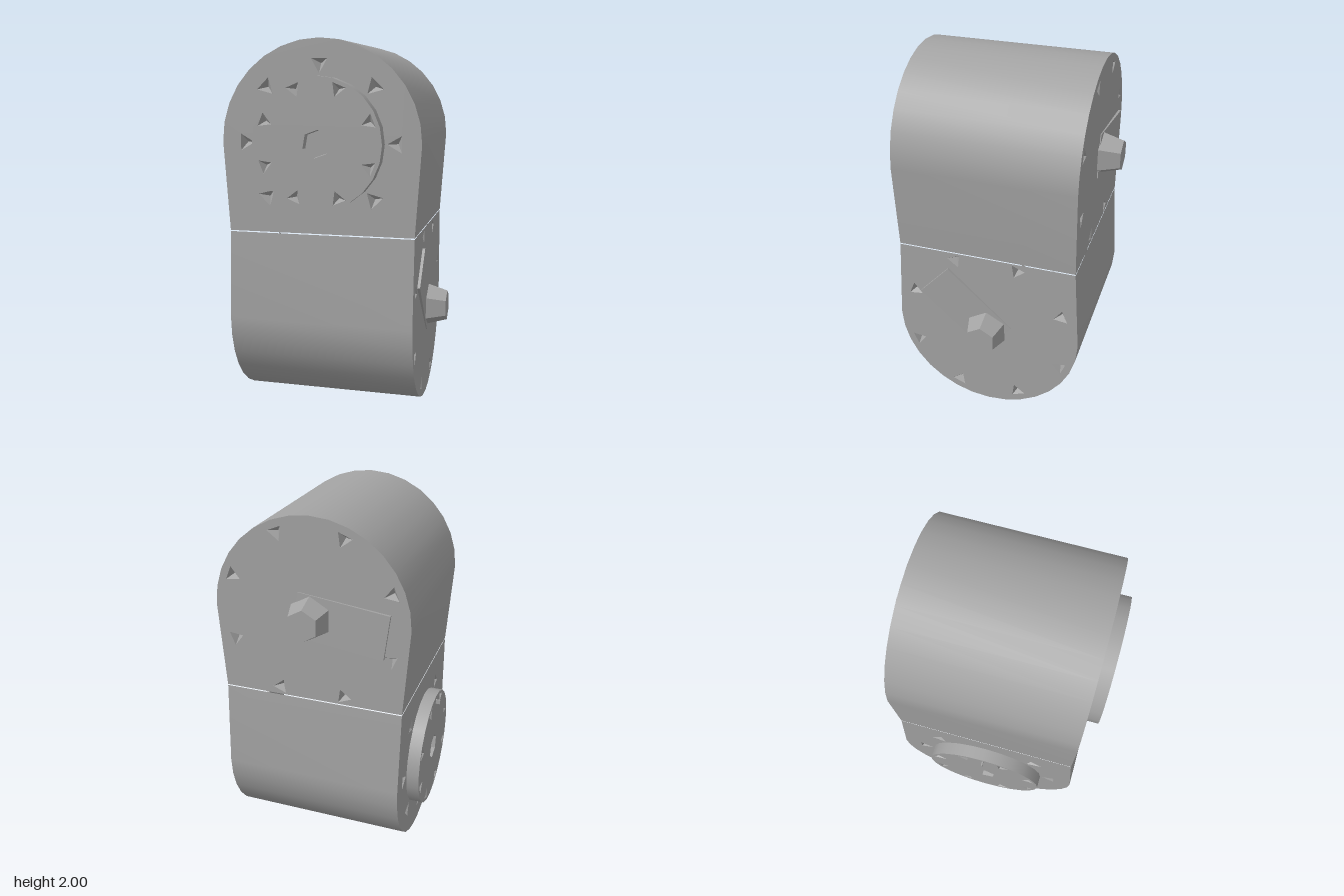
import * as THREE from 'three';

const grey = new THREE.MeshStandardMaterial({ color: 0xa3a3a3 });
grey.name = 'grey plastic';

const R = 0.525;      // big round end
const HALF = 0.495;   // half depth of a housing
const DISC_R = 0.338, DISC_H = 0.07;

function add(parent, geometry, name) {
  const mesh = new THREE.Mesh(geometry, grey);
  mesh.name = name;
  parent.add(mesh);
  return mesh;
}

// Corners of a regular polygon, counter-clockwise
function polygon(n, r, cx = 0, cy = 0, turn = 0) {
  return Array.from({ length: n }, (_, i) => {
    const a = turn + (i / n) * Math.PI * 2;
    return new THREE.Vector2(cx + r * Math.cos(a), cy + r * Math.sin(a));
  });
}

// Triangles in a ring, each pointing at the centre
function ring(radius, size, offset, skip = -1) {
  const list = [];
  for (let i = 0; i < 8; i++) {
    if (i === skip) continue;
    const a = ((i + offset) * Math.PI) / 4;
    list.push(polygon(3, size, radius * Math.cos(a), radius * Math.sin(a), a + Math.PI));
  }
  return list;
}

// Flat-sided hollow going down from z = 0; taper 0 gives a point
function pitGeometry(corners, depth, taper) {
  const c = new THREE.Vector2();
  corners.forEach((p) => c.add(p));
  c.divideScalar(corners.length);
  const low = corners.map((p) => p.clone().sub(c).multiplyScalar(taper).add(c));
  const pos = [];
  corners.forEach((a, i) => {
    const j = (i + 1) % corners.length;
    const b = corners[j], la = low[i], lb = low[j];
    pos.push(a.x, a.y, 0, b.x, b.y, 0, lb.x, lb.y, -depth);
    if (taper > 0) {
      pos.push(a.x, a.y, 0, lb.x, lb.y, -depth, la.x, la.y, -depth);
      pos.push(la.x, la.y, -depth, lb.x, lb.y, -depth, c.x, c.y, -depth);
    }
  });
  const g = new THREE.BufferGeometry();
  g.setAttribute('position', new THREE.Float32BufferAttribute(pos, 3));
  g.computeVertexNormals();
  return g;
}

// Flat face with screw pits cut into it
function pittedFace(parent, outline, pits, z, name) {
  const shape = new THREE.Shape(outline);
  pits.forEach((p) => shape.holes.push(new THREE.Path(p)));
  add(parent, new THREE.ShapeGeometry(shape), name).position.z = z;
  pits.forEach((p) => {
    add(parent, pitGeometry(p, 0.04, 0), 'screwPit').position.z = z;
  });
}

// Arch outline: straight slightly flared legs and a round end
function archOutline() {
  const pts = [new THREE.Vector2(HALF, -0.47)];
  const n = 16;
  for (let i = 0; i <= n; i++) {
    const a = (i / n) * Math.PI;
    pts.push(new THREE.Vector2(R * Math.cos(a), R * Math.sin(a)));
  }
  pts.push(new THREE.Vector2(-HALF, -0.47));
  return pts;
}

// Half of the joint: arch housing with a small disc in front, a knob and lever behind
function createHousing(name, leverAngle) {
  const housing = new THREE.Group();
  housing.name = name;
  const outline = archOutline();

  // Curved wall
  const steps = outline.length - 1;
  const wall = new THREE.PlaneGeometry(1, 1, steps, 1);
  const p = wall.attributes.position;
  for (let i = 0; i < p.count; i++) {
    const o = outline[Math.round((p.getX(i) + 0.5) * steps)];
    p.setXYZ(i, o.x, o.y, p.getY(i) * 2 * HALF);
  }
  wall.computeVertexNormals();
  add(housing, wall, 'housingWall');

  // Front face with its outer ring of pits
  pittedFace(housing, outline, ring(0.4, 0.05, 0, 6), HALF, 'frontFace');

  // Raised disc
  const rim = new THREE.CylinderGeometry(DISC_R, DISC_R, DISC_H, 24, 1, true);
  rim.rotateX(Math.PI / 2);
  add(housing, rim, 'discRim').position.z = HALF + DISC_H / 2;
  const top = HALF + DISC_H;
  const face = new THREE.Shape(polygon(24, DISC_R, 0, 0, Math.PI / 2));
  const socket = polygon(6, 0.074, 0, 0, 0.35);
  const screws = ring(0.295, 0.042, 0.5);
  [socket, ...screws].forEach((h) => face.holes.push(new THREE.Path(h)));
  add(housing, new THREE.ShapeGeometry(face), 'discFace').position.z = top;
  screws.forEach((s) => {
    add(housing, pitGeometry(s, 0.04, 0), 'discScrewPit').position.z = top;
  });
  add(housing, pitGeometry(socket, 0.04, 0.95), 'hexSocket').position.z = top;

  // Back cover
  const back = new THREE.Group();
  back.name = 'backCover';
  back.rotation.y = Math.PI;
  housing.add(back);
  pittedFace(back, outline, ring(0.46, 0.045, 0.5), HALF, 'backFace');

  // Thin lever, slightly lifted at its outer end
  const lever = new THREE.Group();
  lever.name = 'lever';
  lever.rotation.z = leverAngle;
  back.add(lever);
  const bar = add(lever, new THREE.BoxGeometry(0.49, 0.245, 0.02), 'leverBar');
  bar.position.set(0.165, 0, HALF);
  bar.rotation.y = -0.02;

  // Tapered six-sided knob
  const hex = new THREE.CylinderGeometry(0.085, 0.12, 0.115, 6).toNonIndexed();
  hex.computeVertexNormals();
  hex.rotateX(Math.PI / 2);
  add(back, hex, 'knob').position.z = HALF + 0.0575;
  return housing;
}

export function createModel() {
  const model = new THREE.Group();
  model.name = 'angleJoint';

  const upper = createHousing('upperHousing', -0.12);
  upper.position.set(-0.01, 1.473, 0.02);
  model.add(upper);

  // The lower half is upside down and turned a quarter, disc towards -x
  const lower = createHousing('lowerHousing', -0.75);
  const turn = new THREE.Matrix4().makeBasis(
    new THREE.Vector3(0, 0, -1),
    new THREE.Vector3(0, -1, 0),
    new THREE.Vector3(-1, 0, 0)
  );
  lower.quaternion.setFromRotationMatrix(turn);
  lower.position.set(-0.01, 0.527, 0.02);
  model.add(lower);

  // Small pin on the side disc
  add(model, new THREE.BoxGeometry(0.04, 0.025, 0.008), 'discPin').position.set(-0.58, 0.83, 0.02);
  return model;
}
